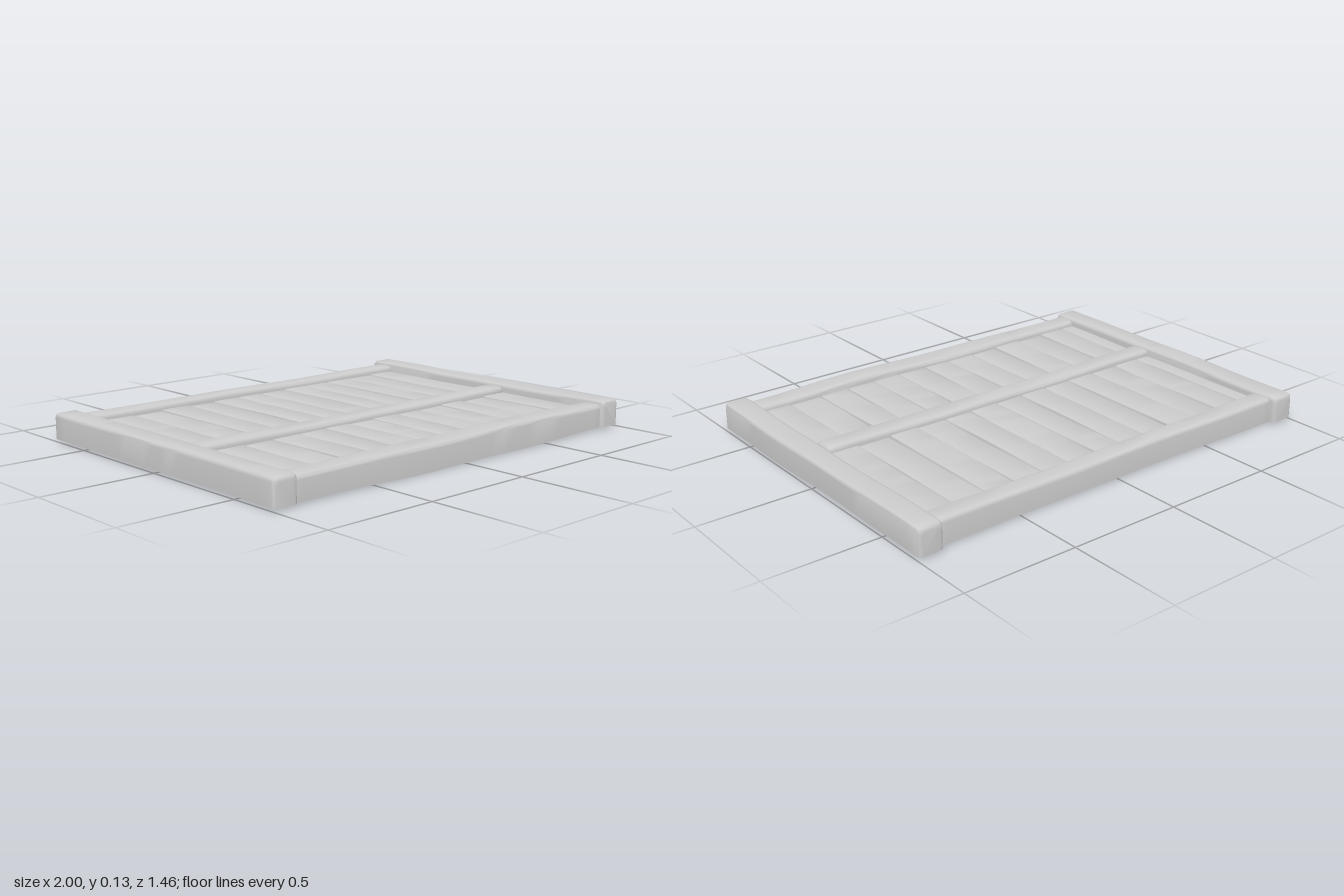
import * as THREE from 'three';
import { toCreasedNormals } from 'three/addons/utils/BufferGeometryUtils.js';

const material = new THREE.MeshStandardMaterial({ color: 0xcccccc, side: THREE.DoubleSide });

// Hand-hewn wavering along a beam
const waver = (t, seed) => 0.6 * Math.sin(t * 7 + seed * 2.3) + 0.4 * Math.sin(t * 15 + seed * 4.1);

// Timber shell, open underneath, running along +z from z0 to z1.
// Its cross-section is an upside-down U with rounded top corners.
function timber({ x0, x1, y0, y1, z0, z1, r, wobble = 0, seed = 0 }) {
  const stations = [];
  const bend = 4;
  for (let i = 0; i <= bend; i++) {
    const a = (i / bend) * Math.PI / 2;
    stations.push([z0 + r * (1 - Math.sin(a)), r * (1 - Math.cos(a))]);
  }
  stations.reverse();
  // stations now run from the full section out to the end face; flip to start at the end
  const startEnd = [];
  for (let i = 0; i <= bend; i++) {
    const a = (i / bend) * Math.PI / 2;
    startEnd.push([r * (1 - Math.cos(a)), r * (1 - Math.sin(a))]);
  }
  const rings = startEnd.map(([d, inset]) => [z0 + d, inset]);
  const steps = 24;
  for (let i = 1; i < steps; i++) {
    rings.push([THREE.MathUtils.lerp(z0 + r, z1 - r, i / steps), 0]);
  }
  for (const [d, inset] of [...startEnd].reverse()) rings.push([z1 - d, inset]);

  const positions = [];
  const index = [];
  const width = 2 * (bend + 1) + 2;
  for (const [z, inset] of rings) {
    const t = (z - z0) / (z1 - z0);
    const sway = wobble * waver(t, seed);
    const lift = wobble * waver(t, seed + 1);
    const left = x0 + inset + sway;
    const right = x1 - inset + wobble * waver(t, seed + 2);
    const top = y1 - inset + lift;
    const bottom = y0 + wobble * waver(t, seed + 3);
    positions.push(right, bottom, z);
    for (let i = 0; i <= bend; i++) {
      const a = (i / bend) * Math.PI / 2;
      positions.push(right - r + r * Math.cos(a), top - r + r * Math.sin(a), z);
    }
    for (let i = 0; i <= bend; i++) {
      const a = Math.PI / 2 + (i / bend) * Math.PI / 2;
      positions.push(left + r + r * Math.cos(a), top - r + r * Math.sin(a), z);
    }
    positions.push(left, bottom, z);
  }
  for (let k = 0; k < rings.length - 1; k++) {
    for (let i = 0; i < width - 1; i++) {
      const a = k * width + i;
      const b = a + width;
      index.push(a, a + 1, b, a + 1, b + 1, b);
    }
  }
  // end faces
  const last = (rings.length - 1) * width;
  for (let i = 1; i < width - 1; i++) {
    index.push(0, i + 1, i);
    index.push(last, last + i, last + i + 1);
  }
  const geometry = new THREE.BufferGeometry();
  geometry.setAttribute('position', new THREE.Float32BufferAttribute(positions, 3));
  geometry.setIndex(index);
  return geometry;
}

function addPart(group, name, geometry) {
  // outward winding for the whole shell
  const mesh = new THREE.Mesh(toCreasedNormals(geometry, 0.7), material);
  mesh.name = name;
  group.add(mesh);
}

// A timber turned to run along x: its local z becomes x and its local x becomes -z
function crossTimber({ x0, x1, z0, z1, ...rest }) {
  return timber({ x0: -z1, x1: -z0, z0: x0, z1: x1, ...rest }).rotateY(Math.PI / 2);
}

export function createModel() {
  const group = new THREE.Group();
  group.name = 'plankPanel';

  // Side rails
  addPart(group, 'rightRail', timber({
    x0: -1, x1: -0.89, y0: 0.015, y1: 0.128, z0: -0.73, z1: 0.725, r: 0.018, wobble: 0.002, seed: 1 }));
  addPart(group, 'leftRail', timber({
    x0: 0.885, x1: 0.995, y0: 0.015, y1: 0.128, z0: -0.73, z1: 0.725, r: 0.018, wobble: 0.003, seed: 2 }));

  // Cross rails, tucked into the side rails
  const cross = { x0: -0.95, x1: 0.94, y1: 0.117, r: 0.02 };
  addPart(group, 'frontRail', crossTimber({ ...cross, y0: 0.008, z0: 0.605, z1: 0.715, wobble: 0.006, seed: 3 }));
  addPart(group, 'middleRail', crossTimber({ ...cross, x1: 0.88, y0: 0.045, z0: 0.06, z1: 0.16, wobble: 0.003, seed: 5 }));
  addPart(group, 'backRail', crossTimber({ ...cross, y0: 0.01, z0: -0.695, z1: -0.6, wobble: 0.003, seed: 7 }));

  // Planks with narrow seams
  const seams = [-0.95, -0.82, -0.68, -0.535, -0.39, -0.25, -0.11, 0.025, 0.17, 0.305, 0.445, 0.585, 0.735, 0.876];
  for (let i = 0; i < seams.length - 1; i++) {
    addPart(group, 'plank' + (i + 1), timber({
      x0: seams[i] + 0.002, x1: seams[i + 1] - 0.002,
      y0: 0.062, y1: 0.09 + 0.002 * Math.sin(i * 2.7),
      z0: -0.63, z1: 0.64, r: 0.006, wobble: 0.002, seed: i + 10 }));
  }
  return group;
}
